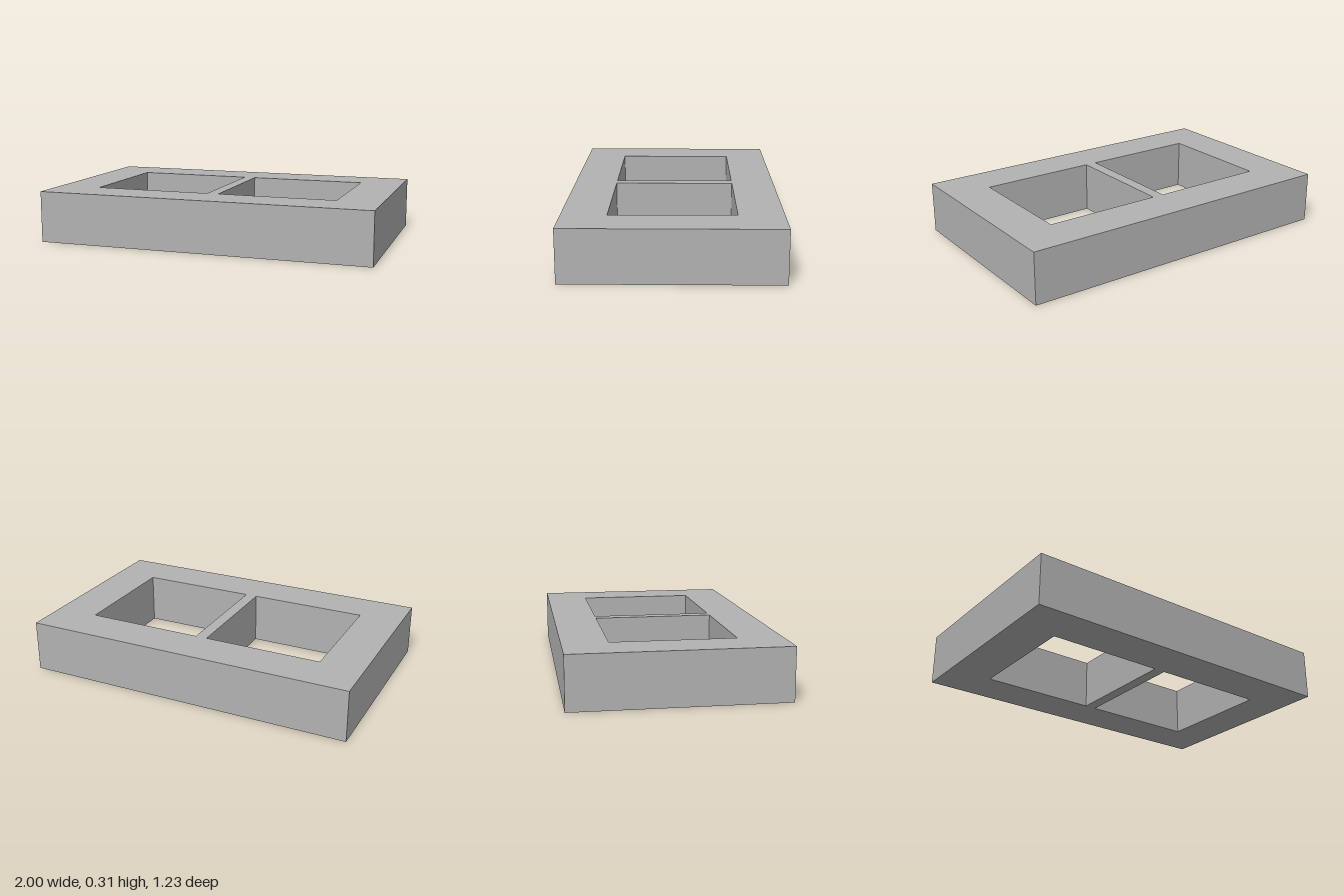
import * as THREE from 'three';

const WIDTH = 2, DEPTH = 1.226, HEIGHT = 0.307;
const HOLE_WIDTH = 0.706, HOLE_DEPTH = 0.712, HOLE_X = 0.388;

// Rectangle outline centred on (cx, 0)
function rectangle(PathType, cx, width, depth) {
  const w = width / 2, d = depth / 2;
  return new PathType([[-w, -d], [w, -d], [w, d], [-w, d]]
    .map(([x, y]) => new THREE.Vector2(cx + x, y)));
}

export function createModel() {
  const group = new THREE.Group();
  group.name = 'twoHoleBlock';
  const concrete = new THREE.MeshStandardMaterial({ color: 0xb2b2b2 });
  concrete.name = 'concrete grey';

  // Slab with two square openings separated by a thin web
  const outline = rectangle(THREE.Shape, 0, WIDTH, DEPTH);
  for (const side of [-1, 1]) {
    outline.holes.push(rectangle(THREE.Path, side * HOLE_X, HOLE_WIDTH, HOLE_DEPTH));
  }
  const geometry = new THREE.ExtrudeGeometry(outline, { depth: HEIGHT, bevelEnabled: false });
  geometry.rotateX(-Math.PI / 2);

  const block = new THREE.Mesh(geometry, concrete);
  block.name = 'block';
  group.add(block);
  return group;
}
